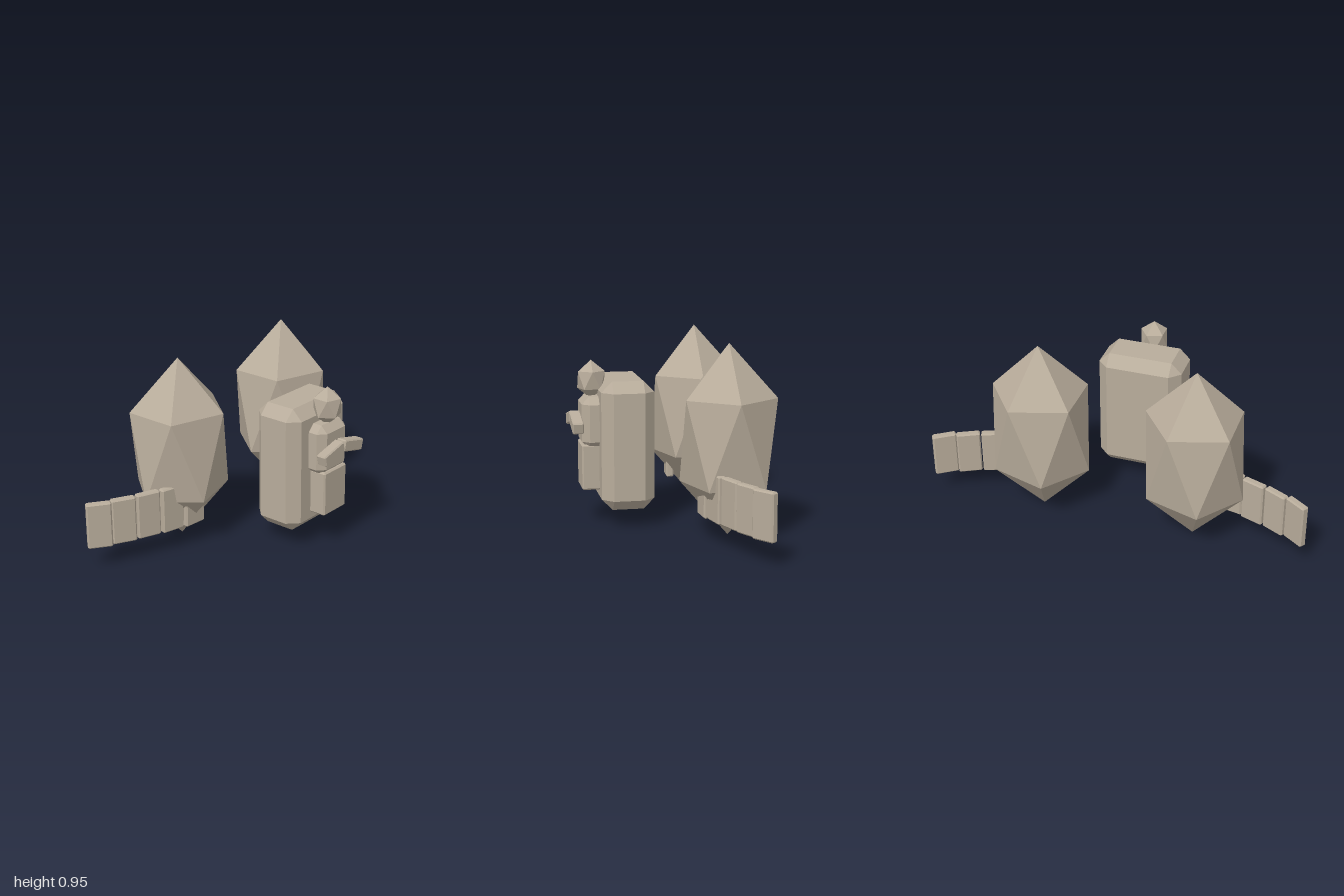
import * as THREE from 'three';
import { ConvexGeometry } from 'three/addons/geometries/ConvexGeometry.js';

const stone = new THREE.MeshStandardMaterial({ color: 0xb8ac9b });
stone.name = 'stone';

// Box with every edge cut at 45 degrees by the bevel width
function chamferBox(w, h, d, bevel) {
  const points = [];
  for (const x of [-1, 1]) for (const y of [-1, 1]) for (const z of [-1, 1])
    for (let axis = 0; axis < 3; axis++) {
      const inset = [bevel, bevel, bevel];
      inset[axis] = 0;
      points.push(new THREE.Vector3(
        x * (w / 2 - inset[0]), y * (h / 2 - inset[1]), z * (d / 2 - inset[2])));
    }
  return new ConvexGeometry(points);
}

// Icosahedron standing on a point, given its ring radii and half height
function crystal(rx, half, rz) {
  const ringY = half / Math.sqrt(5);
  const points = [new THREE.Vector3(0, half, 0), new THREE.Vector3(0, -half, 0)];
  for (let i = 0; i < 10; i++) {
    const a = i * Math.PI / 5;
    points.push(new THREE.Vector3(rx * Math.cos(a), i % 2 ? -ringY : ringY, rz * Math.sin(a)));
  }
  return new ConvexGeometry(points);
}

export function createModel() {
  const model = new THREE.Group();
  model.name = 'shrineWithBoulders';
  const add = (name, geometry, x, y, z, parent = model) => {
    const mesh = new THREE.Mesh(geometry, stone);
    mesh.name = name;
    mesh.position.set(x, y, z);
    parent.add(mesh);
    return mesh;
  };

  // Standing slab behind the figure
  add('slab', chamferBox(0.444, 0.655, 0.268, 0.055), 0, 0.418, 0.205);

  // Carved figure
  const figure = new THREE.Group();
  figure.name = 'figure';
  model.add(figure);
  add('torso', chamferBox(0.22, 0.265, 0.13, 0.037), 0, 0.524, 0.36, figure);
  add('robe', chamferBox(0.18, 0.235, 0.13, 0.008), 0, 0.297, 0.362, figure);
  add('head', crystal(0.0715, 0.1, 0.0715), 0, 0.735, 0.367, figure);

  for (const side of [-1, 1]) {
    const label = side > 0 ? 'left' : 'right';

    // Folded arm
    const arm = add(label + 'Arm', chamferBox(0.158, 0.06, 0.056, 0.006),
      side * 0.077, 0.528, 0.452, figure);
    arm.rotation.z = -side * 0.24;

    // Tall pointed boulder
    add(label + 'Boulder', crystal(0.254, 0.477, 0.239), side * 0.405, 0.479, -0.253);

    // Curved wall of upright panels: x, z, turn in degrees
    const wall = new THREE.Group();
    wall.name = label + 'Wall';
    model.add(wall);
    const panels = [
      [0.457, -0.124, 4], [0.58, -0.156, 12], [0.702, -0.2, 20],
      [0.824, -0.247, 27], [0.938, -0.298, 35],
    ];
    for (const [x, z, turn] of panels) {
      const panel = add(label + 'WallPanel', chamferBox(0.124, 0.236, 0.04, 0.007),
        side * x, 0.233, z, wall);
      panel.rotation.y = side * THREE.MathUtils.degToRad(turn);
    }
  }
  return model;
}
